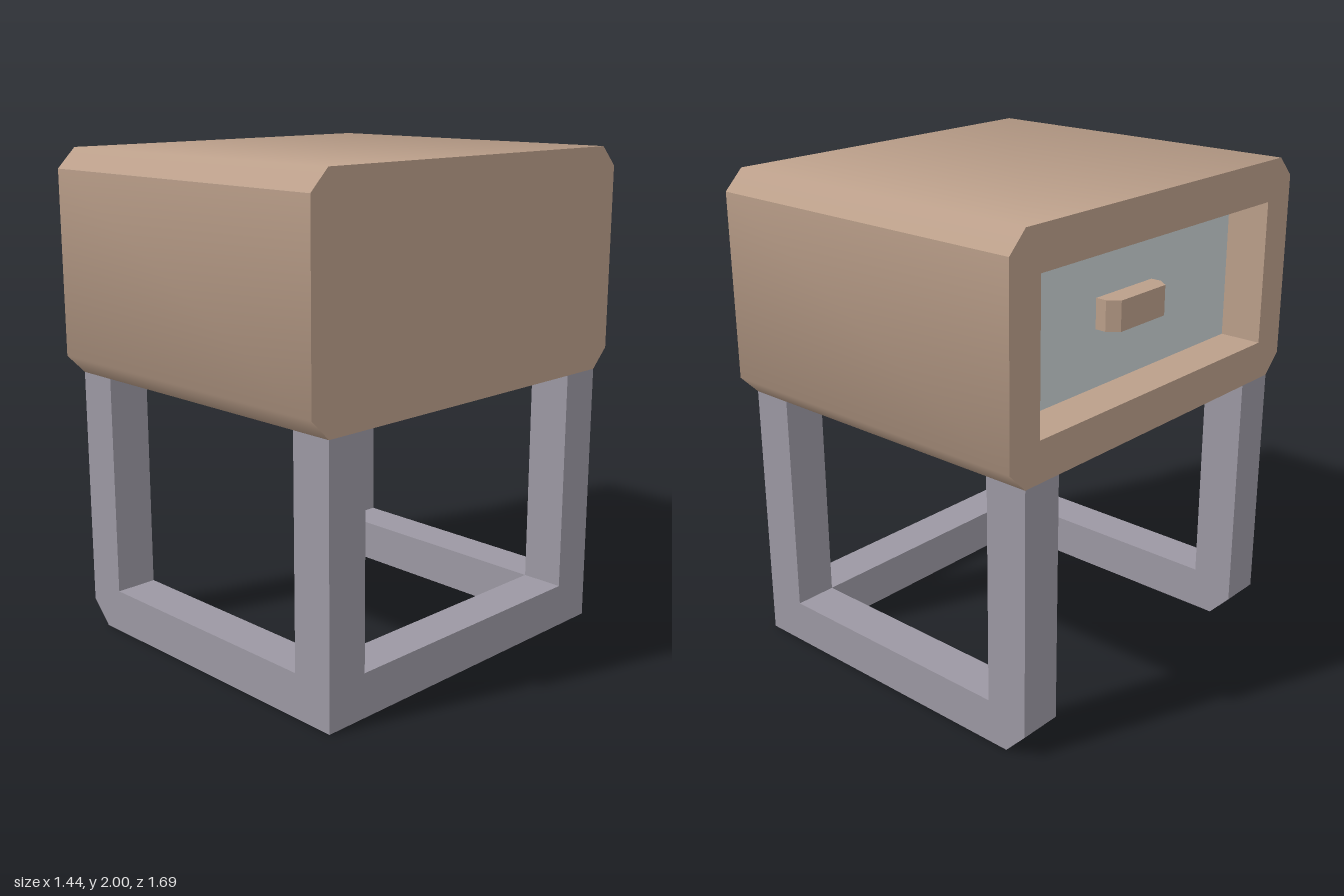
import * as THREE from 'three';

const W = 0.718, D = 0.845, C = 0.08;      // half width, half depth, body chamfer
const TOP = 2, BOT = 1.09, BAR = 0.178;    // body heights, frame bar thickness
const HZ = 0.69, H0 = 1.25, H1 = 1.835;    // drawer opening
const PANEL_X = -0.54;

// Sweep a (z, y) profile along x; smooth profiles share bisected normals at inner points
function sweepX(points, x0, x1, smooth) {
  const pos = [], nor = [], n = points.length - 1;
  const faceN = points.slice(0, n).map(([z, y], i) =>
    new THREE.Vector3(0, points[i + 1][0] - z, y - -0 - points[i + 1][1]).set(
      0, points[i + 1][0] - z, -(points[i + 1][1] - y)).normalize());
  const normalAt = (i, seg) => {
    const v = faceN[seg].clone();
    const other = i === seg ? seg - 1 : seg + 1;
    if (smooth && faceN[other]) v.add(faceN[other]).normalize();
    return v;
  };
  for (let s = 0; s < n; s++) {
    for (const [i, x] of [[s, x0], [s + 1, x0], [s + 1, x1], [s, x0], [s + 1, x1], [s, x1]]) {
      pos.push(x, points[i][1], points[i][0]);
      nor.push(...normalAt(i, s).toArray());
    }
  }
  const g = new THREE.BufferGeometry();
  g.setAttribute('position', new THREE.Float32BufferAttribute(pos, 3));
  g.setAttribute('normal', new THREE.Float32BufferAttribute(nor, 3));
  return g;
}

const toShape = pts => new THREE.Shape(pts.map(p => new THREE.Vector2(...p)));

export function createModel() {
  const wood = new THREE.MeshStandardMaterial({ color: 0xbb9f8a, name: 'wood' });
  const metal = new THREE.MeshStandardMaterial({ color: 0x9c98a3, name: 'frame grey' });
  const grey = new THREE.MeshStandardMaterial({ color: 0xc8d0d2, name: 'drawer grey' });
  const model = new THREE.Group();
  model.name = 'bedsideTable';
  const add = (parent, name, geometry, material) => {
    const mesh = new THREE.Mesh(geometry, material);
    mesh.name = name;
    parent.add(mesh);
    return mesh;
  };

  // Cabinet shell: top with its chamfers, then front, underside and back
  const body = new THREE.Group();
  body.name = 'cabinet';
  model.add(body);
  const upper = [[-D, TOP - C], [-D + C, TOP], [D - C, TOP], [D, TOP - C]];
  const lower = [[D, TOP - C], [D, BOT + C], [D - C, BOT], [-D + C, BOT], [-D, BOT + C], [-D, TOP - C]];
  add(body, 'cabinetTop', sweepX(upper, -W, W, true), wood);
  add(body, 'cabinetShell', sweepX(lower, -W, W, true), wood);

  // End panels: one closed, one with the drawer opening
  const outline = [...upper, ...lower.slice(1, 5)];
  const hole = [[-HZ, H0], [HZ, H0], [HZ, H1], [-HZ, H1]];
  const closed = add(body, 'closedEnd', new THREE.ShapeGeometry(toShape(outline)).rotateY(Math.PI / 2), wood);
  closed.position.x = W;
  const openShape = toShape(outline);
  openShape.holes.push(toShape(hole));
  const open = add(body, 'openEnd', new THREE.ShapeGeometry(openShape).rotateY(-Math.PI / 2), wood);
  open.position.x = -W;

  // Recess walls and drawer front
  add(body, 'recessWalls', sweepX([...hole, hole[0]], -W, PANEL_X, false), wood);
  const panel = add(body, 'drawerFront', new THREE.BoxGeometry(0.008, H1 - H0, HZ * 2), grey);
  panel.position.set(PANEL_X + 0.004, (H0 + H1) / 2, 0);

  // Handle with chamfered ends, extruded upwards
  const grip = toShape([[-0.17, 0], [0.17, 0], [0.17, 0.045], [0.135, 0.09], [-0.135, 0.09], [-0.17, 0.045]]);
  const handleGeo = new THREE.ExtrudeGeometry(grip, { depth: 0.12, bevelEnabled: false })
    .rotateX(-Math.PI / 2).rotateY(Math.PI / 2);
  const handle = add(body, 'drawerHandle', handleGeo, wood);
  handle.position.set(PANEL_X, 1.48, 0);

  // Front and back U-shaped leg frames, chamfered on the drawer side
  const frame = toShape([
    [-W, BOT], [-W, 0.095], [-W + 0.09, 0], [W, 0], [W, BOT],
    [W - BAR, BOT], [W - BAR, BAR], [-W + BAR, BAR], [-W + BAR, BOT],
  ]);
  const frameGeo = new THREE.ExtrudeGeometry(frame, { depth: BAR, bevelEnabled: false });
  const zOut = D - C;
  add(model, 'frontLegFrame', frameGeo, metal).position.z = zOut - BAR;
  add(model, 'backLegFrame', frameGeo, metal).position.z = -zOut;

  // Floor rail joining the frames under the closed end
  const rail = add(model, 'floorRail', new THREE.BoxGeometry(BAR, BAR, 2 * (zOut - BAR)), metal);
  rail.position.set(W - BAR / 2, BAR / 2, 0);
  return model;
}
